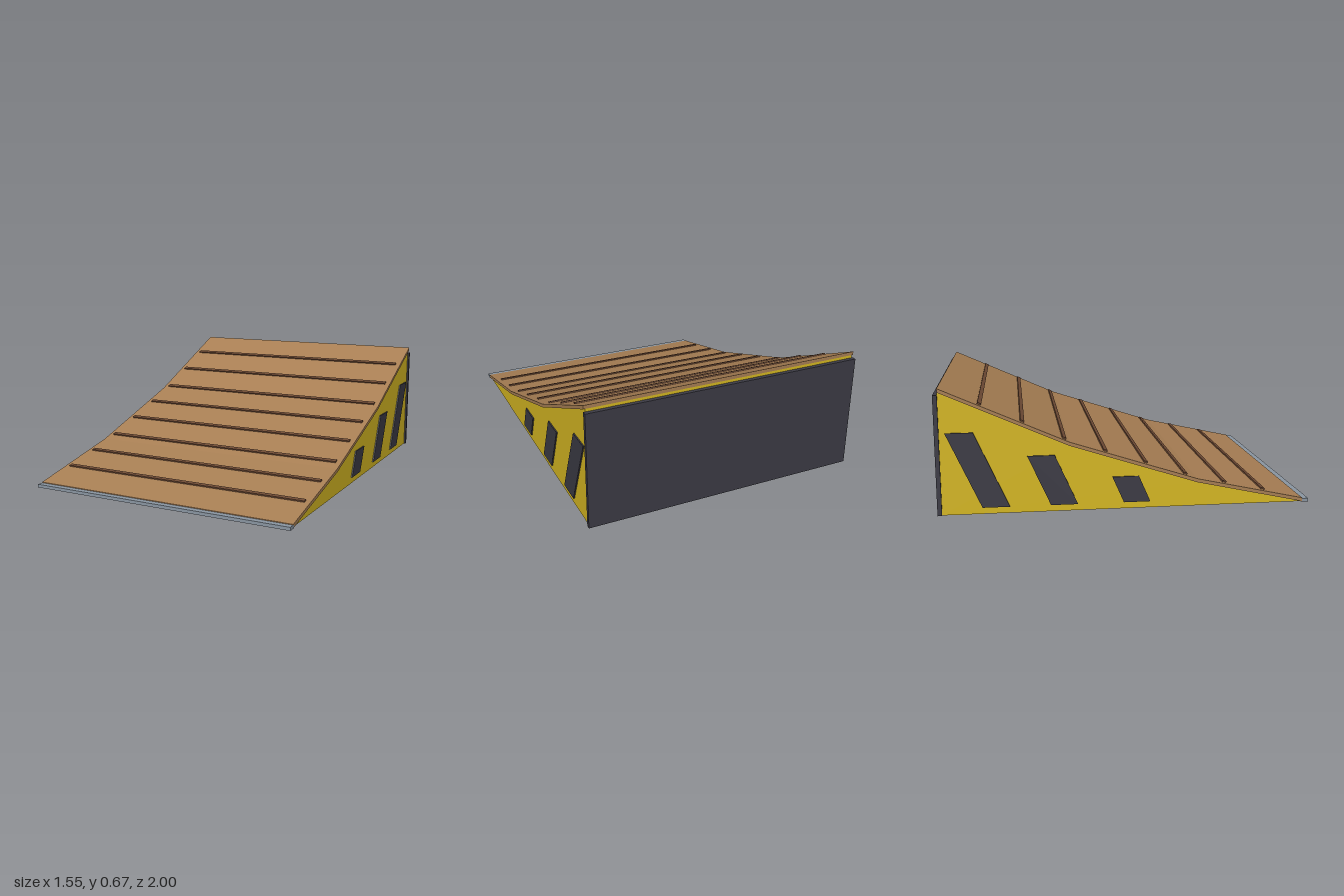
import * as THREE from 'three';

const HALF = 0.775; // half width of the ramp
// Top line of the deck, as [z, y] from the low front edge to the high back edge
const LINE = [[0.965, 0.022], [0.375, 0.152], [-0.31, 0.374], [-0.977, 0.67]];
const DECK = 0.02; // deck thickness, measured vertically

const material = (name, color) => {
  const m = new THREE.MeshStandardMaterial({ color });
  m.name = name;
  return m;
};

// Extrude a [z, y] outline across x, centred on x = 0
function slab(points, width) {
  const shape = new THREE.Shape(points.map(([z, y]) => new THREE.Vector2(z, y)));
  const g = new THREE.ExtrudeGeometry(shape, { depth: width, bevelEnabled: false });
  return g.translate(0, 0, -width / 2).rotateY(-Math.PI / 2);
}

// Height and slope angle of the deck at a given z
function deckAt(z) {
  let i = 0;
  while (i < LINE.length - 2 && z < LINE[i + 1][0]) i++;
  const [z0, y0] = LINE[i], [z1, y1] = LINE[i + 1];
  const slope = (y1 - y0) / (z1 - z0);
  return { y: y0 + slope * (z - z0), angle: -Math.atan(slope) };
}

export function createModel() {
  const model = new THREE.Group();
  model.name = 'ramp';
  const wood = material('wood', 0xa87f54);
  const darkWood = material('dark wood', 0x6e4a34);
  const yellow = material('yellow paint', 0xd6b822);
  const charcoal = material('charcoal', 0x3c3b45);
  const steel = material('steel', 0x8a96a2);

  const add = (name, geometry, mat) => {
    const mesh = new THREE.Mesh(geometry, mat);
    mesh.name = name;
    model.add(mesh);
    return mesh;
  };

  // Wedge body under the deck
  const under = LINE.map(([z, y]) => [z, Math.max(y - DECK, 0.002)]);
  add('body', slab([[0.965, 0], ...under, [-0.977, 0]], 2 * HALF - 0.02), yellow);

  // Bent riding deck
  add('deck', slab([...LINE, ...under.slice().reverse()], 2 * HALF), wood);

  // Grip slats lying on the deck
  for (let i = 0; i < 8; i++) {
    const z = 0.748 - i * 0.217;
    const { y, angle } = deckAt(z);
    const slat = add('gripSlat', new THREE.BoxGeometry(1.49, 0.014, 0.022), darkWood);
    slat.position.set(0, y + 0.001, z);
    slat.rotation.x = angle;
  }

  // Slanted warning stripes on both sides: front z of the foot, lean, top y
  for (const [z, lean, top] of [[0.12, 0.062, 0.177], [-0.268, 0.12, 0.305], [-0.625, 0.18, 0.437]]) {
    const w = 0.143, foot = 0.035;
    const outline = [[z, foot], [z - lean, top], [z - lean - w, top], [z - w, foot]];
    for (const side of [-1, 1]) {
      add('warningStripe', slab(outline, 0.008), charcoal).position.x = side * (HALF - 0.007);
    }
  }

  // Back panel
  add('backPanel', new THREE.BoxGeometry(2 * HALF, 0.635, 0.023), charcoal)
    .position.set(0, 0.3175, -0.9885);

  // Thin metal lip at the low edge
  add('frontLip', new THREE.BoxGeometry(2 * HALF, 0.018, 0.042), steel)
    .position.set(0, 0.009, 0.979);

  return model;
}
